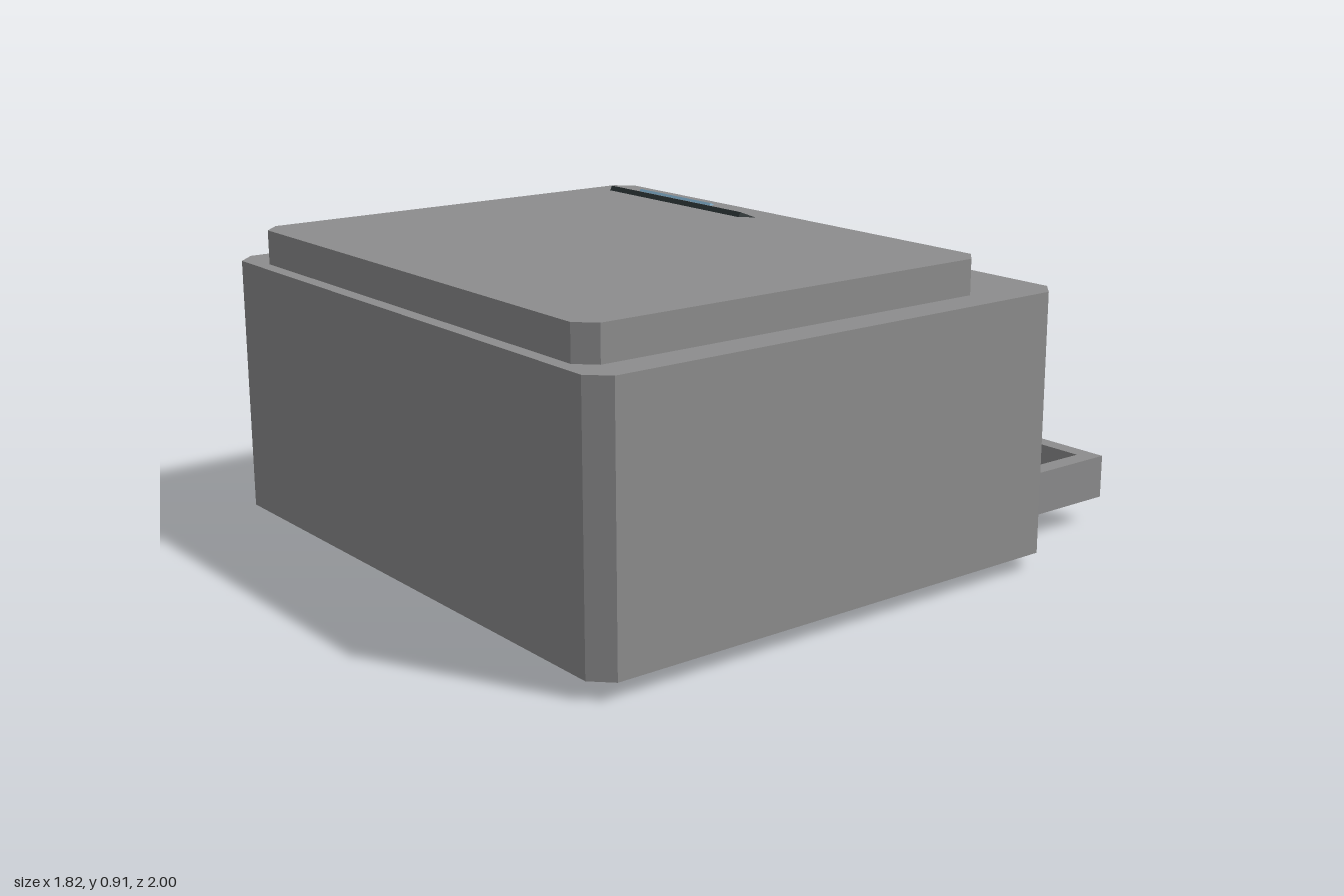
import * as THREE from 'three';

const material = (name, color) => {
  const m = new THREE.MeshStandardMaterial({ color });
  m.name = name;
  return m;
};

// Horizontal slab with chamfered vertical corners, centred on the origin
function chamferedSlab(w, h, d, c) {
  const x = w / 2, z = d / 2;
  const shape = new THREE.Shape([
    [-x + c, -z], [x - c, -z], [x, -z + c], [x, z - c],
    [x - c, z], [-x + c, z], [-x, z - c], [-x, -z + c],
  ].map(([a, b]) => new THREE.Vector2(a, b)));
  const g = new THREE.ExtrudeGeometry(shape, { depth: h, bevelEnabled: false });
  return g.translate(0, 0, -h / 2).rotateX(-Math.PI / 2);
}

export function createModel() {
  const group = new THREE.Group();
  const grey = material('casing grey', 0x8c8c8d);
  const dark = material('charcoal', 0x2e3638);
  const blue = material('screen blue', 0x8ec0e0);
  const cream = material('paper cream', 0xd9d6cd);
  const silver = material('button grey', 0x929896);

  const add = (name, geometry, mat, parent = group) => {
    const mesh = new THREE.Mesh(geometry, mat);
    mesh.name = name;
    parent.add(mesh);
    return mesh;
  };
  // Box or chamfered slab given by its limits on each axis
  const block = (name, mat, [x0, x1], [y0, y1], [z0, z1], chamfer = 0, parent = group) => {
    const size = [x1 - x0, y1 - y0, z1 - z0];
    const g = chamfer ? chamferedSlab(...size, chamfer) : new THREE.BoxGeometry(...size);
    add(name, g, mat, parent).position.set((x0 + x1) / 2, (y0 + y1) / 2, (z0 + z1) / 2);
  };

  // Casing and scanner lid
  block('body', grey, [-0.91, 0.91], [0.05, 0.8], [-0.575, 1], 0.055);
  block('lid', grey, [-0.808, 0.808], [0.8, 0.9], [-0.37, 0.96], 0.05);

  // Feet
  for (const x of [-0.747, 0.747])
    for (const z of [-0.405, 0.84])
      block('foot', dark, [x - 0.058, x + 0.058], [0, 0.05], [z - 0.058, z + 0.058], 0.02);

  // Output slot and the ledge under it
  block('outputSlot', dark, [-0.7, 0.7], [0.54, 0.615], [-0.612, -0.56]);
  block('outputLedge', grey, [-0.765, 0.765], [0.44, 0.497], [-0.655, -0.56]);

  // Open paper tray
  const tray = new THREE.Group();
  tray.name = 'paperTray';
  group.add(tray);
  block('trayFloor', grey, [-0.745, 0.745], [0.08, 0.125], [-0.985, -0.56], 0, tray);
  block('trayEnd', grey, [-0.745, 0.745], [0.125, 0.208], [-0.985, -0.935], 0, tray);
  for (const s of [-1, 1])
    block('traySide', grey, [s * 0.7175 - 0.0275, s * 0.7175 + 0.0275], [0.125, 0.208], [-0.935, -0.56], 0, tray);

  // Tilted paper stack
  const paper = add('paperStack', new THREE.BoxGeometry(1.13, 0.045, 0.39), cream);
  paper.position.set(0, 0.113, -0.803);
  paper.rotation.x = -0.26;

  // Sloping control panel: local y is the panel normal, local z runs up the slope
  const panel = new THREE.Group();
  panel.name = 'controlPanel';
  panel.position.set(-0.405, 0.85, -0.387);
  panel.rotation.x = -0.455;
  group.add(panel);
  block('panelPlate', dark, [-0.365, 0.365], [-0.03, 0], [-0.147, 0.147], 0.04, panel);
  block('screen', blue, [-0.25, 0.11], [-0.01, 0.02], [-0.15, 0.09], 0, panel);
  for (const x of [0.295, 0.385, 0.475])
    add('button', new THREE.CylinderGeometry(0.03, 0.03, 0.03, 6).toNonIndexed(), silver, panel)
      .position.set(x, 0.01, -0.043);
  panel.children.filter((m) => m.name === 'button').forEach((m) => m.geometry.computeVertexNormals());

  return group;
}
